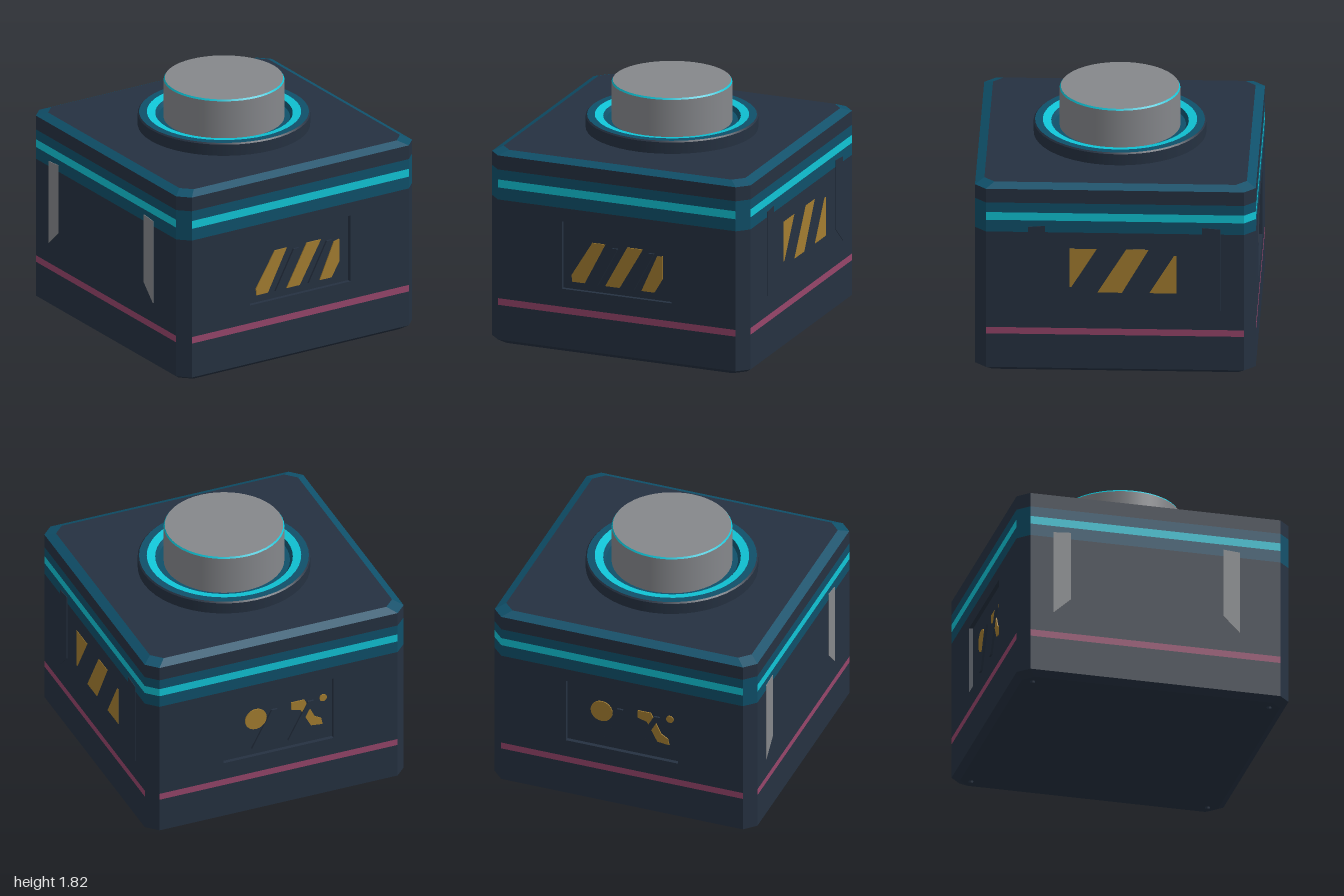
import * as THREE from 'three';

const mat = (name, color, side = THREE.FrontSide) => {
  const m = new THREE.MeshStandardMaterial({ color, side });
  m.name = name;
  return m;
};

export function createModel() {
  const root = new THREE.Group();
  root.name = 'buttonBox';
  const navy = mat('navy', 0x253141);
  const teal = mat('teal', 0x0f506a);
  const cyan = mat('cyan', 0x10c4d6);
  const pink = mat('pink', 0x96456a);
  const amber = mat('amber', 0xa37d30);
  const grey = mat('grey', 0x85878b);

  const add = (parent, name, geo, material, x = 0, y = 0, z = 0) => {
    const m = new THREE.Mesh(geo, material);
    m.name = name;
    m.position.set(x, y, z);
    parent.add(m);
    return m;
  };

  // Square ring with cut corners; edges 0, 2, 4, 6 are front, +x, back, -x
  const ring = (r, y) => {
    const c = r * 0.92;
    return [[-c, r], [c, r], [r, c], [r, -c], [c, -r], [-c, -r], [-r, -c], [-r, c]]
      .map(([x, z]) => [x, y, z]);
  };
  const ALL = [0, 1, 2, 3, 4, 5, 6, 7];
  const band = (name, y0, r0, y1, r1, material, edges = ALL) => {
    const lo = ring(r0, y0), hi = ring(r1, y1), pos = [];
    for (const i of edges) {
      const j = (i + 1) % 8;
      pos.push(...lo[i], ...lo[j], ...hi[j], ...lo[i], ...hi[j], ...hi[i]);
    }
    const g = new THREE.BufferGeometry();
    g.setAttribute('position', new THREE.Float32BufferAttribute(pos, 3));
    g.computeVertexNormals();
    return add(root, name, g, material);
  };

  // Body shell from bottom to top
  const sides = [0, 2, 4, 6], corners = [1, 3, 5, 7];
  band('underside', 0.015, 0, 0.015, 0.95, navy);
  band('bottomBevel', 0.015, 0.95, 0.05, 1, navy);
  band('lowerShell', 0.05, 1, 0.31, 1, navy);
  band('pinkStripe', 0.31, 1, 0.36, 1, pink, sides);
  band('pinkStripeCorners', 0.31, 1, 0.36, 1, navy, corners);
  band('middleShell', 0.36, 1, 1.1, 1, navy, [1, 2, 3, 5, 6, 7]);
  band('lowerTealBand', 1.1, 1, 1.19, 1, teal);
  band('lightStrip', 1.19, 1, 1.25, 1, cyan, [...sides, 3]);
  band('lightStripCorners', 1.19, 1, 1.25, 1, teal, [1, 5, 7]);
  band('upperTealBand', 1.25, 1, 1.325, 1, teal);
  band('upperShell', 1.325, 1, 1.43, 1, navy);
  band('topRim', 1.43, 1, 1.46, 0.935, teal);
  band('topPanel', 1.46, 0.935, 1.46, 0, navy);

  // Flat outlines for plates
  const outline = pts => new THREE.Shape(pts.map(([x, y]) => new THREE.Vector2(x, y)));
  const plate = (parent, name, shape, depth, z, material) =>
    add(parent, name, new THREE.ExtrudeGeometry(shape, { depth, bevelEnabled: false }), material, 0, 0, z);
  const rect = (x0, y0, x1, y1) => [[x0, y0], [x1, y0], [x1, y1], [x0, y1]];
  const face = (name, turn) => {
    const g = new THREE.Group();
    g.name = name;
    g.rotation.y = turn;
    root.add(g);
    return g;
  };

  // Front and back walls with a recessed panel and slanted ribs
  const front = face('frontFace', 0), back = face('backFace', Math.PI);
  for (const side of [front, back]) {
    const wall = outline(rect(-0.92, 0.36, 0.92, 1.1));
    wall.holes.push(outline(rect(-0.425, 0.495, 0.425, 1.0)));
    plate(side, 'wall', wall, 0.03, 0.97, navy);
    plate(side, 'recessPanel', outline(rect(-0.44, 0.48, 0.44, 1.02)), 0.01, 0.96, navy);
    for (const x of [-0.17, 0.11]) {
      plate(side, 'slantedRib',
        outline([[x - 0.03, 0.55], [x + 0.015, 0.55], [x + 0.17, 0.84], [x + 0.125, 0.84]]), 0.015, 0.97, navy);
    }
  }

  // Hazard stripes on the front
  [
    [[-0.355, 0.55], [-0.26, 0.55], [-0.1, 0.86], [-0.2, 0.86], [-0.36, 0.6]],
    [[-0.1, 0.55], [0.01, 0.55], [0.19, 0.86], [0.07, 0.86]],
    [[0.18, 0.55], [0.28, 0.55], [0.345, 0.66], [0.345, 0.83], [0.3, 0.82]],
  ].forEach(p => plate(front, 'hazardStripe', outline(p), 0.008, 0.97, amber));

  // Worn paint marks on the back
  const disc = (x, y, r) => new THREE.Shape().absarc(x, y, r, 0, Math.PI * 2);
  plate(back, 'paintSpot', disc(-0.165, 0.79, 0.083), 0.008, 0.97, amber);
  plate(back, 'paintDot', disc(0.355, 0.84, 0.028), 0.008, 0.97, amber);
  plate(back, 'paintStroke', outline([[0.11, 0.86], [0.11, 0.8], [0.18, 0.78], [0.26, 0.63],
    [0.35, 0.62], [0.34, 0.67], [0.29, 0.7], [0.21, 0.86]]), 0.008, 0.97, amber);

  // Side slots, cut off at the inner lower corner
  const right = face('rightHandFace', Math.PI / 2), left = face('leftHandFace', -Math.PI / 2);
  const slots = (parent, flip, material) => {
    [[-0.62, -0.5], [0.75, 0.62]].forEach(([outer, inner]) => {
      const pts = [[outer, 0.51], [inner, 0.63], [inner, 1.15], [outer, 1.14]].map(([x, y]) => [x * flip, y]);
      plate(parent, 'sideSlot', outline(pts), 0.006, 0.998, material);
    });
  };
  slots(right, 1, navy);
  slots(left, -1, grey);

  // Hazard stripes on the +x side
  [
    [[-0.325, 0.68], [-0.31, 0.68], [-0.13, 0.975], [-0.325, 0.975]],
    [[-0.125, 0.64], [0.05, 0.64], [0.24, 0.975], [0.08, 0.975]],
    [[0.245, 0.64], [0.44, 0.64], [0.44, 0.93], [0.42, 0.93]],
  ].forEach(p => plate(right, 'hazardStripe', outline(p), 0.006, 0.997, amber));

  // Button and its collar, turned from short profiles
  const turned = (name, pts, material) => {
    // Each straight piece is its own lathe so edges stay crisp
    const g = new THREE.Group();
    g.name = name;
    for (let i = 0; i + 1 < pts.length; i++) {
      const seg = [pts[i], pts[i + 1]].map(([x, y]) => new THREE.Vector2(x, y));
      add(g, name + 'Surface', new THREE.LatheGeometry(seg, 48), material);
    }
    root.add(g);
  };
  turned('collarWall', [[0.615, 1.455], [0.615, 1.545], [0.605, 1.555]], navy);
  turned('collarOuterRing', [[0.605, 1.555], [0.55, 1.555]], teal);
  turned('collarLight', [[0.55, 1.555], [0.49, 1.545]], cyan);
  turned('collarGroove', [[0.49, 1.545], [0.47, 1.515], [0.42, 1.515]], teal);
  turned('buttonWall', [[0.43, 1.5], [0.43, 1.803]], grey);
  turned('buttonEdge', [[0.43, 1.803], [0.422, 1.815]], cyan);
  turned('buttonTop', [[0.422, 1.815], [0, 1.815]], grey);

  // Small feet
  for (const x of [-0.87, 0.87]) for (const z of [-0.87, 0.87]) {
    add(root, 'foot', new THREE.CylinderGeometry(0.02, 0.015, 0.03, 12), navy, x, 0.015, z);
  }
  return root;
}
